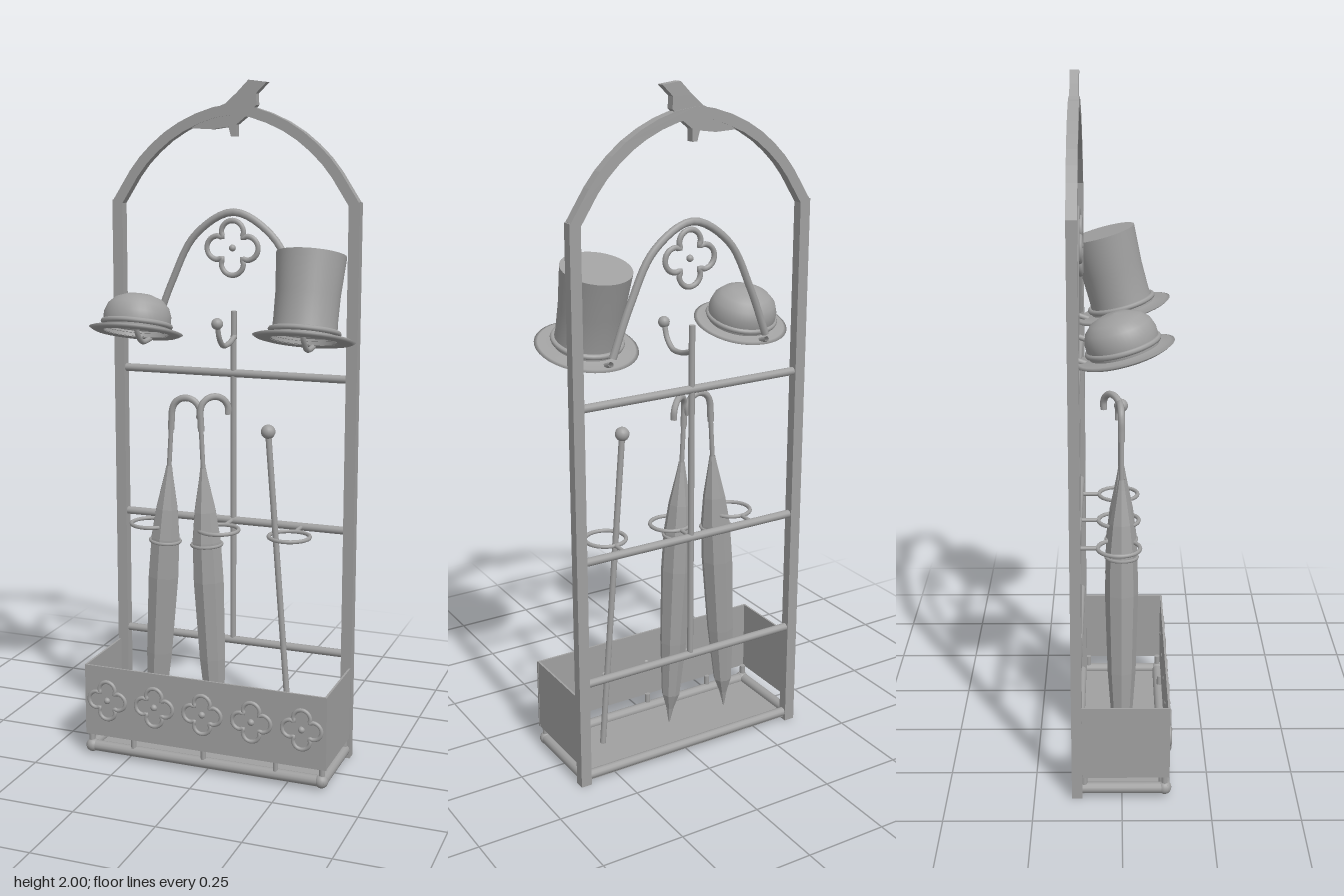
import * as THREE from 'three';

export function createModel() {
  const root = new THREE.Group();
  root.name = 'hallStand';
  const iron = new THREE.MeshStandardMaterial({ color: 0xa0a0a0, side: THREE.DoubleSide });
  iron.name = 'grey iron';
  const V = (x, y, z) => new THREE.Vector3(x, y, z);
  const CX = -0.007, BACK = -0.128;

  const add = (name, geo, pos = [0, 0, 0], parent = root) => {
    const m = new THREE.Mesh(geo, iron);
    m.name = name;
    m.position.set(...pos);
    parent.add(m);
    return m;
  };
  const box = (name, w, h, d, x, y, z) => add(name, new THREE.BoxGeometry(w, h, d), [x, y, z]);
  const ball = (name, r, x, y, z, parent) => add(name, new THREE.SphereGeometry(r, 16, 12), [x, y, z], parent);
  const tube = (name, pts, r, closed = false, parent = root, seg = 32) =>
    add(name, new THREE.TubeGeometry(new THREE.CatmullRomCurve3(pts, closed), seg, r, 8, closed), [0, 0, 0], parent);
  // straight round bar between two points
  const rod = (name, a, b, r, parent) => {
    const d = b.clone().sub(a);
    const m = add(name, new THREE.CylinderGeometry(r, r, d.length(), 12), a.clone().add(b).multiplyScalar(0.5).toArray(), parent);
    m.quaternion.setFromUnitVectors(V(0, 1, 0), d.normalize());
    return m;
  };
  const lathe = (name, pts, seg, parent) =>
    add(name, new THREE.LatheGeometry(pts.map(p => new THREE.Vector2(...p)), seg), [0, 0, 0], parent);

  // back frame
  for (const s of [-1, 1]) box('post', 0.033, 1.66, 0.03, CX + s * 0.365, 0.83, BACK);
  for (const y of [1.155, 0.705, 0.325]) rod('crossBar', V(CX - 0.36, y, BACK), V(CX + 0.36, y, BACK), 0.012);
  rod('centreRod', V(CX, 0.325, BACK), V(CX, 1.34, BACK), 0.009);

  // flat-sided top arch, cut from an offset outline
  const arc = new THREE.CatmullRomCurve3([
    [-0.365, 1.652], [-0.28, 1.775], [-0.16, 1.87], [0, 1.918], [0.16, 1.87], [0.28, 1.775], [0.365, 1.652],
  ].map(p => V(p[0] + CX, p[1], 0)));
  const outer = [], inner = [];
  for (let i = 0; i <= 18; i++) {
    const p = arc.getPoint(i / 18), t = arc.getTangent(i / 18);
    outer.push(new THREE.Vector2(p.x - t.y * 0.015, p.y + t.x * 0.015));
    inner.unshift(new THREE.Vector2(p.x + t.y * 0.015, p.y - t.x * 0.015));
  }
  add('topArch', new THREE.ExtrudeGeometry(new THREE.Shape([...outer, ...inner]), { depth: 0.03, bevelEnabled: false }), [0, 0, BACK - 0.015]);

  // bird perched on the arch
  const bird = new THREE.Shape([
    [-0.135, 1.866], [-0.07, 1.863], [-0.02, 1.87], [-0.012, 1.842], [0.003, 1.842], [0.004, 1.876], [0.035, 1.9],
    [0.065, 1.93], [0.063, 1.962], [0.095, 1.993], [0.04, 2.0], [0.005, 1.965], [-0.03, 1.935], [-0.08, 1.915], [-0.105, 1.885],
  ].map(p => new THREE.Vector2(...p)));
  add('bird', new THREE.ExtrudeGeometry(bird, { depth: 0.025, bevelEnabled: false }), [0, 0, BACK - 0.0125]);

  // small inner arch
  tube('innerArch', [[-0.25, 1.28], [-0.195, 1.42], [-0.12, 1.56], [0, 1.628], [0.12, 1.56], [0.195, 1.42], [0.25, 1.28]]
    .map(p => V(p[0] + CX, p[1], BACK + 0.003)), 0.011, false, root, 40);

  // four-lobed ornament
  const quatrefoil = (x, y, z, R, r) => {
    const g = new THREE.Group();
    g.name = 'quatrefoil';
    const pts = [];
    for (let k = 0; k < 4; k++) for (let i = 0; i < 8; i++) {
      const a = k * Math.PI / 2, b = a + (-115 + i * 230 / 8) * Math.PI / 180;
      pts.push(V(R * (0.56 * Math.cos(a) + 0.43 * Math.cos(b)), R * (0.56 * Math.sin(a) + 0.43 * Math.sin(b)), 0));
    }
    tube('ring', pts, r, true, g, 96);
    ball('stud', 0.01, 0, 0, 0, g);
    g.position.set(x, y, z);
    root.add(g);
  };
  quatrefoil(CX, 1.525, -0.115, 0.08, 0.008);
  for (let i = -2; i <= 2; i++) quatrefoil(CX + i * 0.153, 0.18, 0.136, 0.06, 0.006);

  // hooks with ball ends
  for (const x of [-0.26, CX + 0.003, 0.25]) {
    tube('hook', [V(x, 1.265, BACK), V(x, 1.25, -0.08), V(x, 1.25, -0.03), V(x, 1.275, 0), V(x, 1.315, 0.015)], 0.008);
    ball('hookBall', 0.017, x, 1.318, 0.017);
  }

  // trough, open at the back
  box('frontPanel', 0.757, 0.22, 0.006, CX + 0.002, 0.176, 0.133);
  for (const s of [-1, 1]) {
    box('sidePanel', 0.006, 0.22, 0.276, CX + s * 0.376, 0.176, -0.004);
    rod('sideBaseBar', V(CX + s * 0.365, 0.026, -0.14), V(CX + s * 0.365, 0.026, 0.122), 0.016);
    for (const z of [BACK + 0.02, 0.122]) rod('panelPin', V(CX + s * 0.365, 0.03, z), V(CX + s * 0.365, 0.07, z), 0.009);
    ball('cornerBall', 0.02, CX + s * 0.363, 0.026, 0.122);
  }
  rod('frontBaseBar', V(CX - 0.375, 0.026, 0.122), V(CX + 0.375, 0.026, 0.122), 0.016);
  rod('backBaseBar', V(CX - 0.37, 0.026, BACK), V(CX + 0.37, 0.026, BACK), 0.014);
  for (const x of [-0.225, 0, 0.225]) rod('panelPin', V(CX + x, 0.03, 0.125), V(CX + x, 0.07, 0.125), 0.008);
  box('floor', 0.74, 0.012, 0.26, CX, 0.016, -0.003);

  // umbrella rings
  for (const x of [-0.225, -0.01, 0.21]) {
    add('holderRing', new THREE.TorusGeometry(0.06, 0.006, 8, 32).rotateX(Math.PI / 2), [x, 0.705, -0.008]);
    rod('ringArm', V(x, 0.705, BACK), V(x, 0.705, -0.066), 0.006);
  }

  // folded umbrellas, leaning, with crook handles
  const umbrella = (x, lean, turn) => {
    const g = new THREE.Group();
    g.name = 'umbrella';
    const c = lathe('canopy', [[0.002, 0], [0.012, 0.05], [0.028, 0.1], [0.041, 0.28], [0.048, 0.52], [0.045, 0.64], [0.034, 0.73], [0.014, 0.83], [0.009, 0.86]], 8, g);
    c.geometry = c.geometry.toNonIndexed();
    c.geometry.computeVertexNormals();
    add('strap', new THREE.TorusGeometry(0.045, 0.005, 6, 24).rotateX(Math.PI / 2), [0, 0.63, 0], g);
    rod('shaft', V(0, 0.8, 0), V(0, 1.0, 0), 0.007, g);
    const crook = [V(0, 0.97, 0), V(0, 1.0, 0)];
    for (let i = 0; i <= 6; i++) {
      const a = Math.PI * (1 - i / 6 * 1.1);
      crook.push(V(0.043 + 0.043 * Math.cos(a), 1.026 + 0.043 * Math.sin(a), 0));
    }
    const k = tube('crook', crook, 0.01, false, g);
    k.rotation.y = turn;
    g.position.set(x, 0.03, 0);
    g.rotation.z = lean;
    root.add(g);
  };
  umbrella(-0.216, -0.062, 0.1);
  umbrella(-0.012, 0.05, 0.65);

  // walking cane
  rod('cane', V(0.225, 0.03, 0), V(0.147, 1.0, 0), 0.009);
  ball('caneKnob', 0.021, 0.146, 1.012, 0);

  // hats tilted backward on the hooks
  const hat = (name, x, y, z, brim, bandR, crown) => {
    const g = new THREE.Group();
    g.name = name;
    lathe('brim', [[bandR - 0.004, 0.002], [bandR + 0.02, -0.004], [brim - 0.01, 0], [brim, 0.006], [brim - 0.01, 0.01],
      [bandR + 0.02, 0.006], [bandR - 0.004, 0.012]], 40, g);
    lathe('crown', crown, 40, g);
    add('band', new THREE.TorusGeometry(bandR, 0.008, 8, 40).rotateX(Math.PI / 2), [0, 0.026, 0], g);
    g.position.set(x, y, z);
    g.rotation.x = -0.27;
    root.add(g);
    return g;
  };
  hat('bowlerHat', -0.261, 1.28, 0.01, 0.138, 0.098,
    [[0.095, 0], [0.099, 0.03], [0.099, 0.055], [0.09, 0.08], [0.07, 0.1], [0.04, 0.112], [0, 0.117]]);
  const topHat = hat('topHat', 0.252, 1.28, 0.008, 0.146, 0.096, [[0.095, 0], [0.091, 0.05], [0.092, 0.13], [0.1, 0.245]]);
  add('lid', new THREE.CircleGeometry(0.1, 40).rotateX(-Math.PI / 2), [0, 0.245, 0], topHat);

  return root;
}
